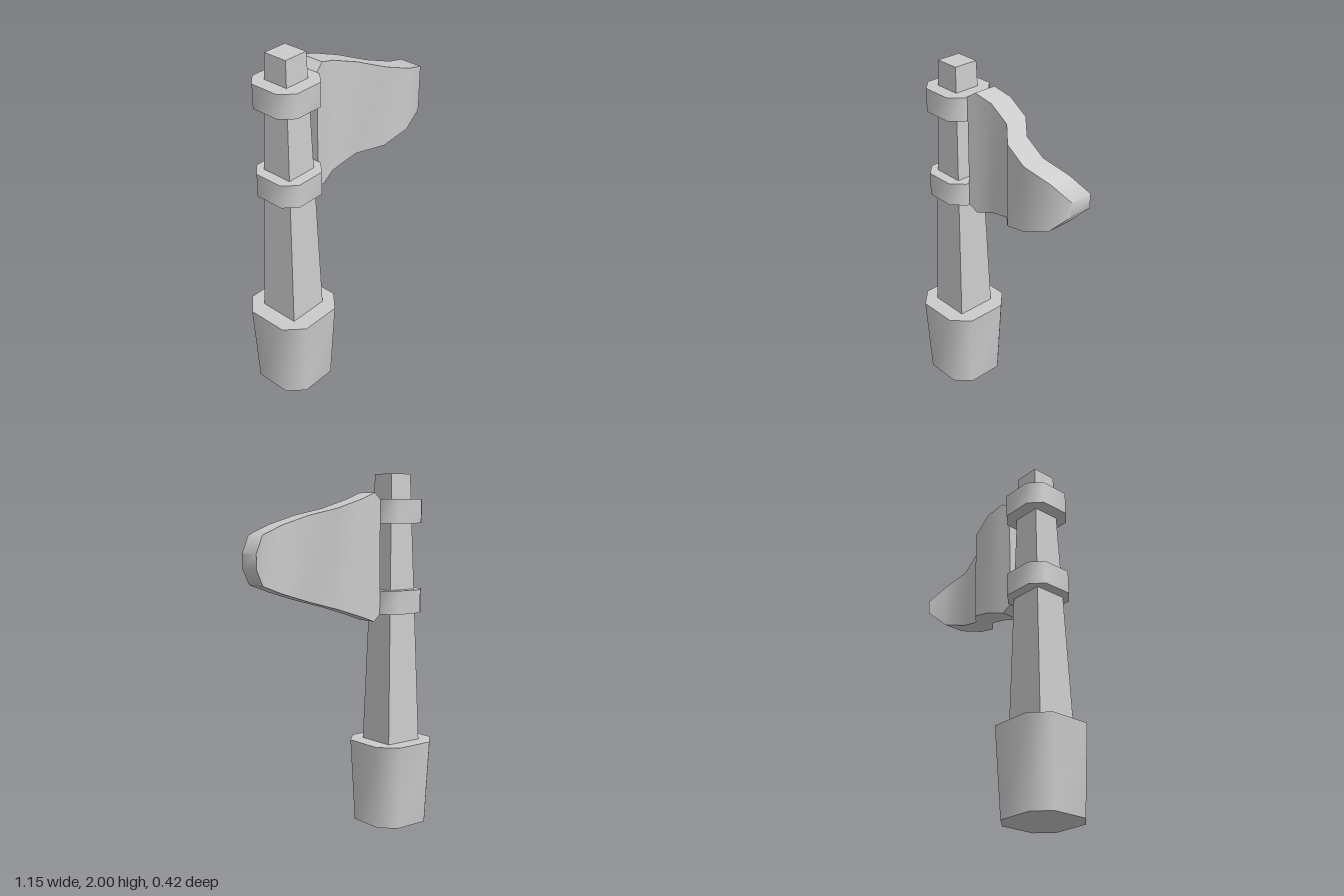
import * as THREE from 'three';
import { toCreasedNormals } from 'three/addons/utils/BufferGeometryUtils.js';

const POST_X = -0.369;
const CREASE = 0.9;

// Square column with flat half-widths; with flat > 0 its corners are cut to an octagon.
function column(top, bottom, y0, y1, flat = 0) {
  const sides = flat ? 8 : 4;
  const k = 1 / Math.cos(Math.PI / sides);
  const geo = new THREE.CylinderGeometry(top * k, bottom * k, y1 - y0, sides, 1, false, Math.PI / sides);
  if (flat) {
    const p = geo.attributes.position;
    const stretch = flat / Math.tan(Math.PI / 8);
    for (let i = 0; i < p.count; i++) {
      if (Math.abs(p.getX(i)) < Math.abs(p.getZ(i))) p.setX(i, p.getX(i) * stretch);
      else p.setZ(i, p.getZ(i) * stretch);
    }
  }
  geo.translate(POST_X, (y0 + y1) / 2, 0);
  return geo;
}

// Wavy flag: a segmented box whose columns follow x, z and half-height stations.
function flagGeometry() {
  const stations = [
    [-0.22, -0.003, 0.318], [-0.17, -0.014, 0.353], [-0.07, -0.036, 0.32], [0.08, -0.003, 0.269],
    [0.195, 0.097, 0.231], [0.345, 0.131, 0.181], [0.49, 0.097, 0.132], [0.573, 0.03, 0.04],
  ];
  const n = stations.length - 1;
  const geo = new THREE.BoxGeometry(n, 2, 0.132, n, 1, 1);
  const p = geo.attributes.position;
  for (let i = 0; i < p.count; i++) {
    const [x, z, h] = stations[Math.round(p.getX(i) + n / 2)];
    p.setXYZ(i, x, 1.542 + p.getY(i) * h, z + p.getZ(i));
  }
  return geo;
}

export function createModel() {
  const group = new THREE.Group();
  const material = new THREE.MeshStandardMaterial({ color: 0xcccccc });
  const add = (name, geo) => {
    const mesh = new THREE.Mesh(toCreasedNormals(geo, CREASE), material);
    mesh.name = name;
    group.add(mesh);
  };

  add('base', column(0.208, 0.185, 0, 0.48, 0.556));
  add('post', column(0.07, 0.115, 0.48, 2));
  // Collars holding the flag to the post
  add('lowerCollar', column(0.149, 0.149, 1.225, 1.357, 0.556));
  add('upperCollar', column(0.149, 0.149, 1.728, 1.86, 0.556));
  add('flag', flagGeometry());
  return group;
}
